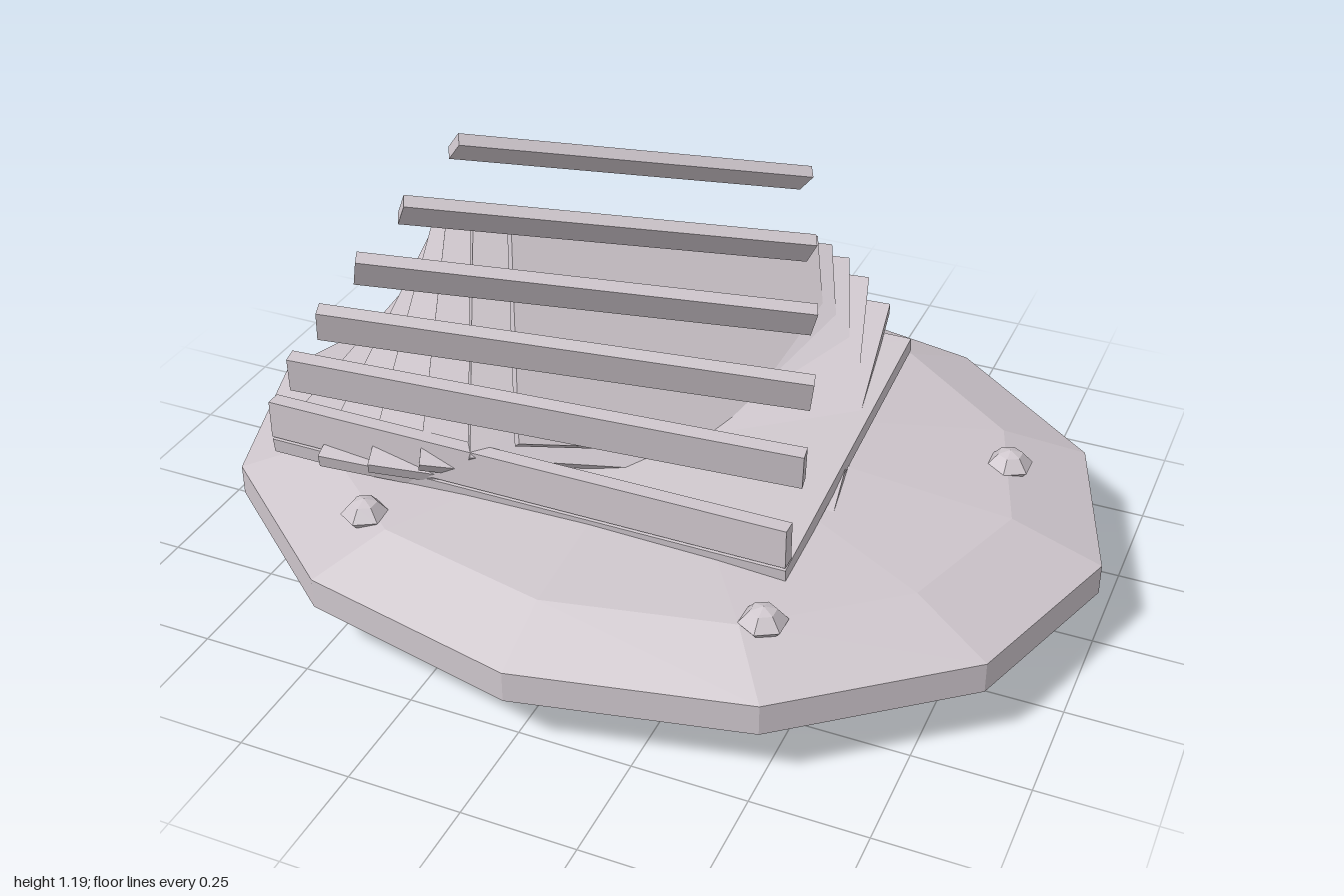
import * as THREE from 'three';

const STEPS = 6;
const rad = THREE.MathUtils.degToRad;

export function createModel() {
  const group = new THREE.Group();
  const paleStone = new THREE.MeshStandardMaterial({ color: 0xcdc5cb });

  function add(geometry, name) {
    const mesh = new THREE.Mesh(geometry, paleStone);
    mesh.name = name;
    group.add(mesh);
    return mesh;
  }

  // Faceted solid of revolution from [radius, y] points
  function faceted(profile, sides) {
    const points = profile.map(([r, y]) => new THREE.Vector2(r, y));
    const geometry = new THREE.LatheGeometry(points, sides).toNonIndexed();
    geometry.computeVertexNormals();
    return geometry;
  }

  // Twelve-sided oval base with shallow domes above and below
  const base = faceted([
    [0, 0], [0.4, 0.016], [0.8, 0.062], [1, 0.13],
    [1, 0.2], [0.8, 0.265], [0.4, 0.3], [0, 0.312],
  ], 12);
  base.scale(1, 1, 0.81);
  add(base, 'base');

  // Five small studs around the base
  const studShape = faceted([[0, -0.025], [0.03, -0.025], [0.052, 0], [0.028, 0.027], [0, 0.036]], 6);
  const studs = [[0.01, -0.65], [0.74, -0.2], [0.44, 0.53], [-0.47, 0.525], [-0.75, -0.21]];
  for (const [x, z] of studs) add(studShape, 'stud').position.set(x, 0.265, z);

  // Plates and rails that twist, tilt and shrink step by step
  for (let k = 0; k < STEPS; k++) {
    const scale = 1 - 0.076 * k;
    const thick = 0.035 - 0.002 * k;
    const pitch = rad(8.1 * k), yaw = rad(8.6 * k), roll = rad(-2.9 * k);

    const plate = add(new THREE.BoxGeometry(1.21 * scale, thick, 0.82 * scale), 'plate');
    plate.position.set(-0.165 + 0.034 * k, 0.335 + 0.035 * k, -0.006 * k);
    plate.rotation.set(pitch + rad(7), yaw, roll, 'YZX');

    const rail = add(new THREE.BoxGeometry(1.21 * scale, 0.09 - 0.006 * k, thick), 'rail');
    rail.position.set(-0.165 + 0.042 * k, 0.355 + 0.1425 * k, 0.393 - 0.029 * k);
    rail.rotation.set(pitch, yaw, roll, 'YZX');
  }

  return group;
}
